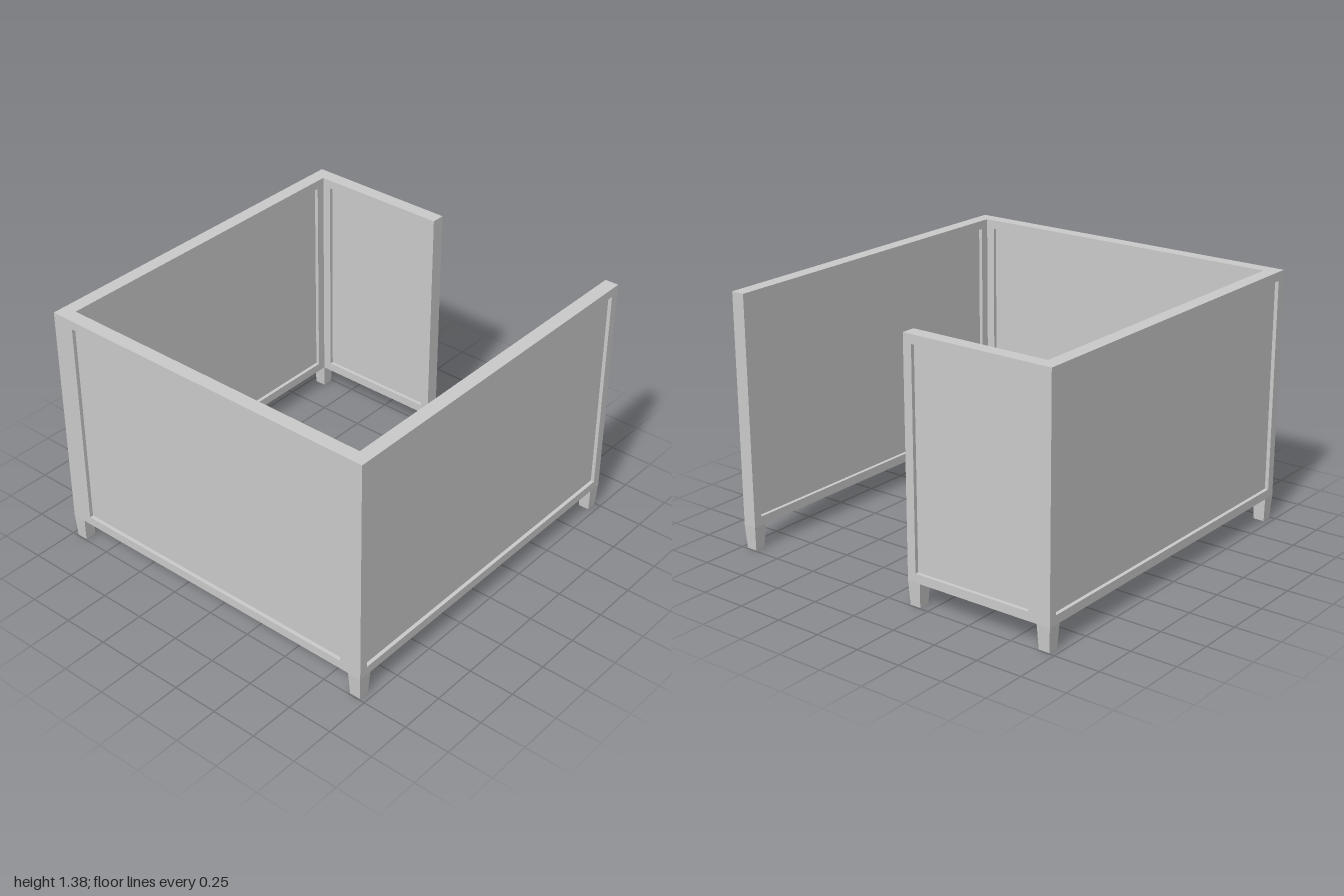
import * as THREE from 'three';

const T = 0.075;            // wall thickness
const RECESS = 0.02;        // depth of the panel recess on each face
const BOTTOM = 0.13, TOP = 1.375, RIM = 0.048;
const X = 1, Z = 0.975;     // outer half sizes
const material = new THREE.MeshStandardMaterial({ color: 0xcccccc, flatShading: true });

// Rectangular frame from u0 to u1 with an opening from h0 to h1
function frame(name, u0, u1, h0, h1, z) {
  const rect = (a, b, c, d) => [[a, c], [b, c], [b, d], [a, d]].map(p => new THREE.Vector2(...p));
  const shape = new THREE.Shape(rect(u0, u1, BOTTOM, TOP));
  shape.holes.push(new THREE.Path(rect(h0, h1, BOTTOM + RIM, TOP - RIM).reverse()));
  const mesh = new THREE.Mesh(
    new THREE.ExtrudeGeometry(shape, { depth: RECESS, bevelEnabled: false }), material);
  mesh.name = name;
  mesh.position.z = z;
  return mesh;
}

// Wall whose outer face lies at distance d along its own +z;
// outer and inner hold the opening limits on each face
function wall(name, d, angle, [u0, u1], outer, inner) {
  const group = new THREE.Group();
  group.name = name;
  const panel = new THREE.Mesh(
    new THREE.BoxGeometry(u1 - u0, TOP - BOTTOM, T - 2 * RECESS), material);
  panel.name = 'panel';
  panel.position.set((u0 + u1) / 2, (TOP + BOTTOM) / 2, d - T / 2);
  group.add(
    panel,
    frame('outerFrame', u0, u1, ...outer, d - RECESS),
    frame('innerFrame', u0, u1, ...inner, d - T));
  group.rotation.y = angle;
  return group;
}

// Square leg that narrows towards the floor
function leg(x, z) {
  const geometry = new THREE.BoxGeometry(T, BOTTOM, T);
  const p = geometry.attributes.position;
  for (let i = 0; i < p.count; i++) {
    if (p.getY(i) < 0) p.setXYZ(i, p.getX(i) * 0.8, p.getY(i), p.getZ(i) * 0.8);
  }
  geometry.computeVertexNormals();
  const mesh = new THREE.Mesh(geometry, material);
  mesh.name = 'leg';
  mesh.position.set(x, BOTTOM / 2, z);
  return mesh;
}

export function createModel() {
  const model = new THREE.Group();
  model.name = 'partitionEnclosure';
  const xi = X - T, zi = Z - T;   // inner half sizes
  const end = 0.13;               // free end of the short wall

  model.add(
    wall('frontWall', Z, 0, [-X, X], [-X + RIM, X - RIM], [-xi + RIM, X - RIM]),
    wall('backWall', Z, Math.PI, [-X, X], [-X + RIM, X - RIM], [-xi + RIM, xi - RIM]),
    wall('longSideWall', X, -Math.PI / 2, [-zi, zi], [-zi + RIM, zi - RIM], [-zi + RIM, zi - RIM]),
    wall('shortSideWall', X, Math.PI / 2, [end, zi], [end + RIM, zi - RIM], [end + RIM, zi - RIM]));

  // Legs under the corners and the free end of the short wall
  const lx = X - T / 2, lz = Z - T / 2;
  for (const sx of [-1, 1]) for (const sz of [-1, 1]) model.add(leg(sx * lx, sz * lz));
  model.add(leg(lx, -end - T / 2));
  return model;
}
